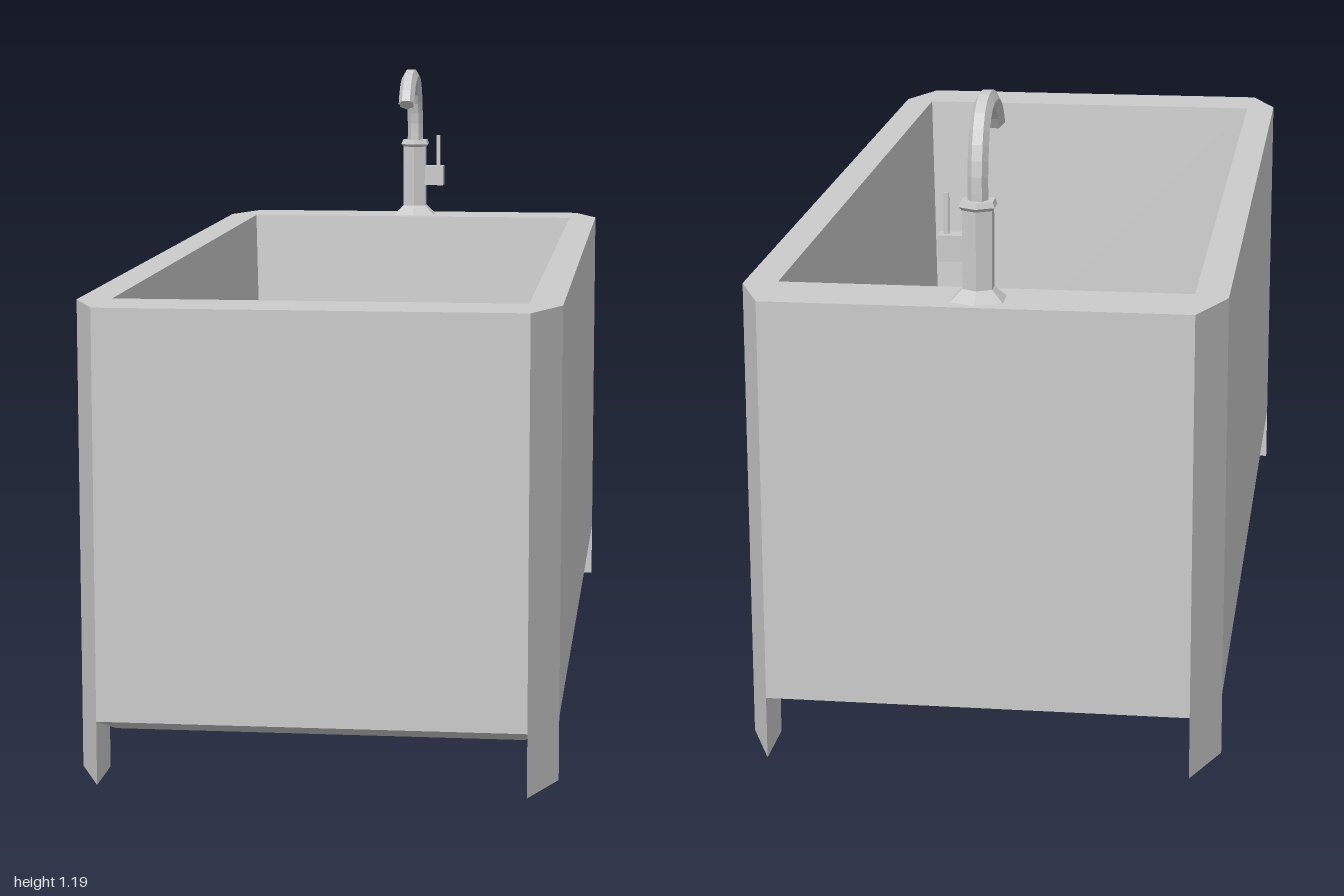
import * as THREE from 'three';

const grey = () => new THREE.MeshStandardMaterial({ color: 0xcccccc, flatShading: true });

function add(parent, name, geometry, x = 0, y = 0, z = 0) {
  const mesh = new THREE.Mesh(geometry, grey());
  mesh.name = name;
  mesh.position.set(x, y, z);
  parent.add(mesh);
  return mesh;
}

// Joins rings of equal point count with flat quads; rings run anticlockwise seen from above.
function loft(rings) {
  const pos = [];
  for (let r = 0; r < rings.length - 1; r++) {
    const a = rings[r], b = rings[r + 1], n = a.length;
    for (let i = 0; i < n; i++) {
      const j = (i + 1) % n;
      for (const tri of [[a[i], a[j], b[j]], [a[i], b[j], b[i]]]) {
        const area = new THREE.Triangle(...tri.map(p => new THREE.Vector3(...p))).getArea();
        if (area > 1e-7) pos.push(...tri.flat());
      }
    }
  }
  const g = new THREE.BufferGeometry();
  g.setAttribute('position', new THREE.Float32BufferAttribute(pos, 3));
  g.computeVertexNormals();
  return g;
}

// Rectangle with chamfered corners; cx, cz are where the straight sides end.
const ring = (y, hx, hz, cx = hx, cz = hz) => [
  [cx, y, hz], [hx, y, cz], [hx, y, -cz], [cx, y, -hz],
  [-cx, y, -hz], [-hx, y, -cz], [-hx, y, cz], [-cx, y, hz],
];

export function createModel() {
  const model = new THREE.Group();
  model.name = 'bathtub';

  // Tub: underside, sloped skirt, outer walls, rim, tapered basin, floor
  add(model, 'tub', loft([
    ring(0.07, 0, 0),
    ring(0.07, 0.37, 0.875),
    ring(0.115, 0.43, 1, 0.38, 0.88),
    ring(0.85, 0.43, 1, 0.38, 0.88),
    ring(0.85, 0.37, 0.86),
    ring(0.12, 0.345, 0.795),
    ring(0.12, 0, 0),
  ]));

  // Triangular feet below the chamfered corners
  for (const sx of [1, -1]) for (const sz of [1, -1]) {
    const corners = [[0.38, 1], [0.43, 0.88], [0.38, 0.88]];
    if (sx * sz < 0) corners.reverse();
    const at = y => corners.map(([x, z]) => [x * sx, y, z * sz]);
    const centre = y => corners.map(() => [0.397 * sx, y, 0.92 * sz]);
    add(model, (sz > 0 ? 'front' : 'back') + (sx > 0 ? 'Left' : 'Right') + 'Foot',
      loft([centre(0), at(0), at(0.115)]));
  }

  // Tap on the back rim
  const tap = new THREE.Group();
  tap.name = 'tap';
  tap.position.set(0, 0.85, -0.938);
  model.add(tap);

  // Six-sided column with flared base and collar
  const profile = [[0.053, 0], [0.03, 0.021], [0.03, 0.16], [0.036, 0.166], [0.032, 0.176], [0, 0.176]];
  add(tap, 'column', new THREE.LatheGeometry(profile.map(p => new THREE.Vector2(...p)), 6).toNonIndexed());

  // Curved spout
  const path = new THREE.CatmullRomCurve3([
    [0.165, 0], [0.22, 0], [0.27, 0.012], [0.308, 0.036], [0.327, 0.075],
    [0.327, 0.135], [0.315, 0.172], [0.29, 0.203], [0.269, 0.217],
  ].map(([y, z]) => new THREE.Vector3(0, y, z)));
  add(tap, 'spout', new THREE.TubeGeometry(path, 14, 0.018, 6, false));
  const tip = add(tap, 'spoutTip', new THREE.CircleGeometry(0.018, 6, Math.PI / 2));
  tip.position.copy(path.getPoint(1));
  tip.lookAt(path.getPoint(1).add(path.getTangent(1)));

  // Side valve and lever
  add(tap, 'valve', new THREE.BoxGeometry(0.05, 0.046, 0.032), 0.043, 0.092, 0);
  add(tap, 'lever', new THREE.BoxGeometry(0.009, 0.074, 0.009), 0.055, 0.15, 0);

  return model;
}
